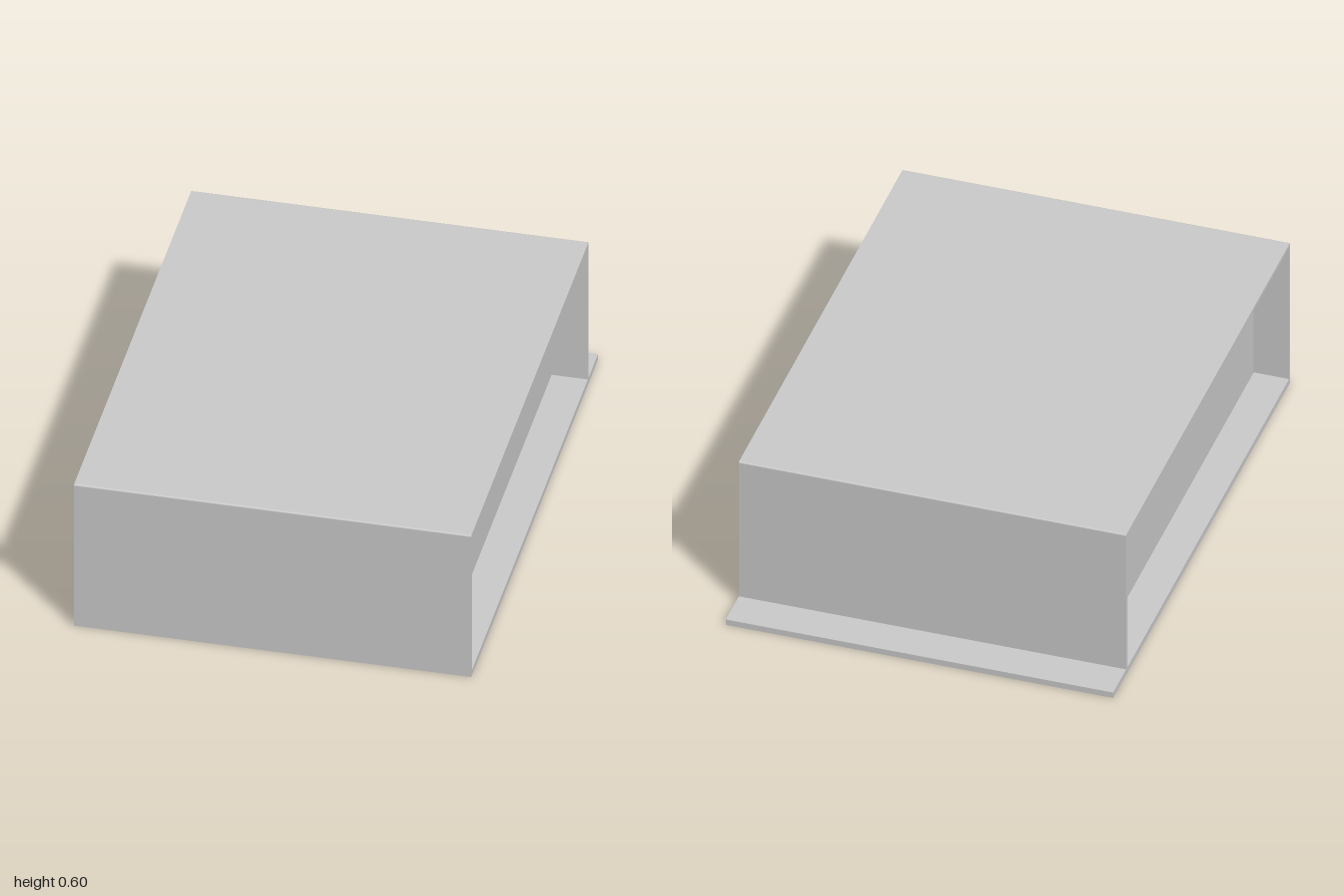
import * as THREE from 'three';

const WIDTH = 1.424, T = 0.013;
const BASE_H = 0.023, TOP = 0.6;
const FRONT = 1, BACK = -0.853;

export function createModel() {
  const model = new THREE.Group();
  model.name = 'enclosure';
  const material = new THREE.MeshStandardMaterial({ color: 0xcccccc });

  const add = (name, geometry, x, y, z) => {
    const mesh = new THREE.Mesh(geometry, material);
    mesh.name = name;
    mesh.position.set(x, y, z);
    model.add(mesh);
  };

  // Base plate, running out behind the cover as a flange
  add('basePlate', new THREE.BoxGeometry(WIDTH, BASE_H, 2), 0, BASE_H / 2, 0);

  // Cover: one folded sheet forming front, top and back, with tiny rounded folds.
  // The profile is drawn in (-z, y) and extruded across the width.
  const r = 0.007;
  const profile = new THREE.Shape();
  profile.moveTo(-FRONT, BASE_H);
  profile.lineTo(-FRONT + T, BASE_H);
  profile.lineTo(-FRONT + T, TOP - T);
  profile.lineTo(-BACK - T, TOP - T);
  profile.lineTo(-BACK - T, BASE_H);
  profile.lineTo(-BACK, BASE_H);
  profile.lineTo(-BACK, TOP - r);
  profile.quadraticCurveTo(-BACK, TOP, -BACK - r, TOP);
  profile.lineTo(-FRONT + r, TOP);
  profile.quadraticCurveTo(-FRONT, TOP, -FRONT, TOP - r);
  profile.closePath();
  const cover = new THREE.ExtrudeGeometry(profile, { depth: WIDTH, bevelEnabled: false, curveSegments: 4 });
  cover.rotateY(Math.PI / 2);
  add('foldedCover', cover, -WIDTH / 2, 0, 0);

  // Side panels, set in from the open ends of the cover
  const panelH = TOP - T - BASE_H;
  const panelL = FRONT - BACK - 2 * T;
  for (const [name, side] of [['leftPanel', 1], ['rightPanel', -1]]) {
    add(name, new THREE.BoxGeometry(T, panelH, panelL),
      side * (0.582 - T / 2), BASE_H + panelH / 2, (FRONT + BACK) / 2);
  }

  return model;
}
